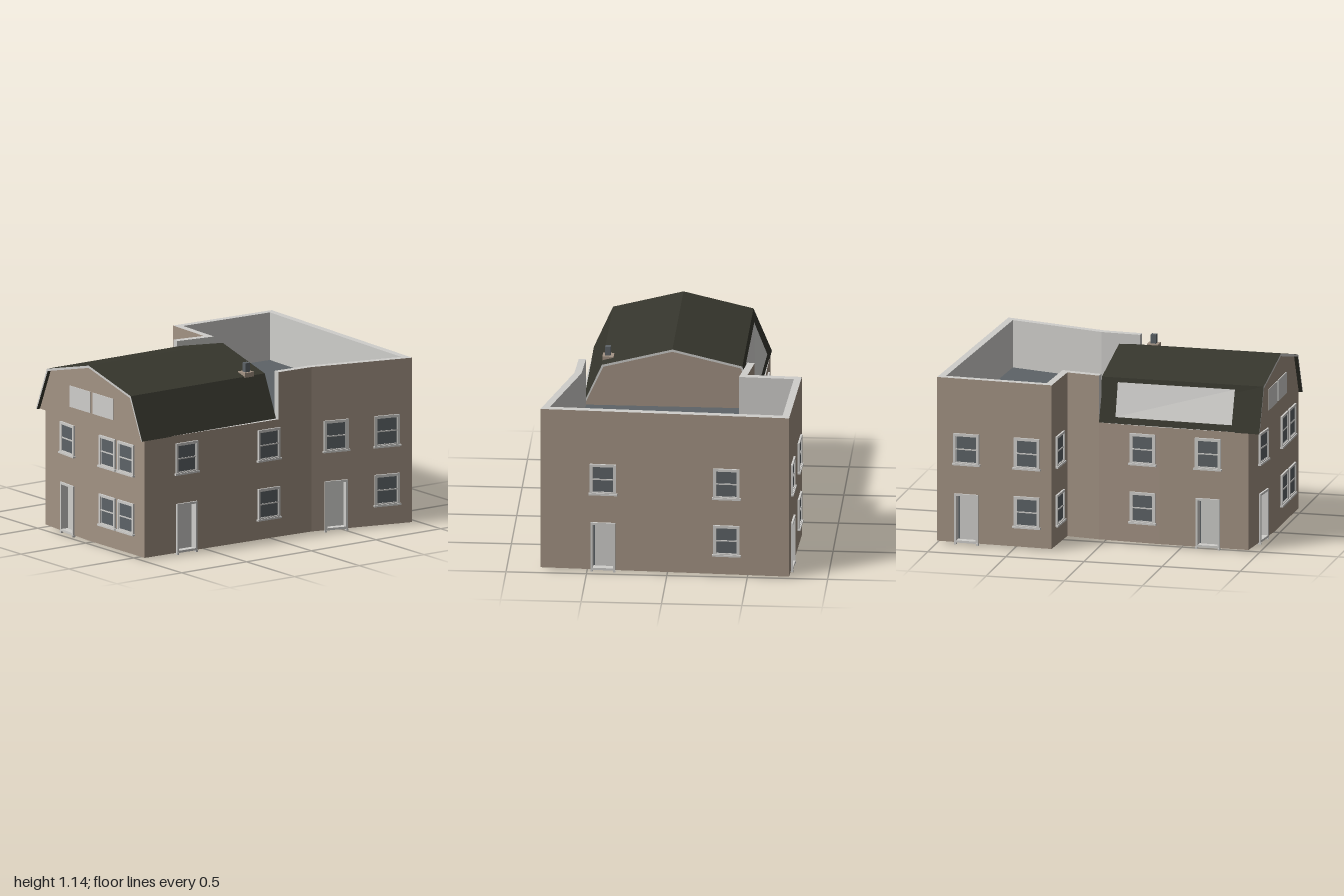
import * as THREE from 'three';

const mat = (name, color, side = THREE.FrontSide) => {
  const m = new THREE.MeshStandardMaterial({ color, side });
  m.name = name;
  return m;
};

export function createModel() {
  const house = new THREE.Group();
  house.name = 'house';

  const render = mat('tan render', 0xa39384, THREE.DoubleSide);
  const trim = mat('pale grey trim', 0xcfcecb, THREE.DoubleSide);
  const slate = mat('slate grey', 0x5d6367, THREE.DoubleSide);
  const roofing = mat('dark roofing', 0x36362d, THREE.DoubleSide);

  const add = (parent, name, geometry, material, x = 0, y = 0, z = 0) => {
    const m = new THREE.Mesh(geometry, material);
    m.name = name;
    m.position.set(x, y, z);
    parent.add(m);
    return m;
  };
  const box = (w, h, d) => new THREE.BoxGeometry(w, h, d);
  const rect = (x0, y0, x1, y1, Type = THREE.Shape) =>
    new Type([[x0, y0], [x1, y0], [x1, y1], [x0, y1]].map(p => new THREE.Vector2(...p)));
  const quad = (a, b, c, d) => {
    const g = new THREE.BufferGeometry();
    g.setAttribute('position', new THREE.Float32BufferAttribute([a, b, c, a, c, d].flat(), 3));
    g.computeVertexNormals();
    return g;
  };

  const BASE = 0.012, EAVES = 0.76, PARAPET = 1.06, THICK = 0.045;

  // Footprint corners: x, z and the height of the wall that starts there
  const plan = [
    [-0.515, 0.93, EAVES], [-0.02, 0.975, EAVES], [0.58, 0.975, EAVES],
    [0.612, -0.035, PARAPET], [0.623, -0.28, PARAPET], [0.79, -0.935, PARAPET],
    [-0.76, -1.0, PARAPET], [-0.79, -0.26, PARAPET], [-0.452, -0.245, PARAPET],
    [-0.482, -0.035, EAVES], [-0.508, 0.36, EAVES],
  ];
  const n = plan.length;
  const next = i => (i + 1) % n;
  const dirOf = i => new THREE.Vector2(
    plan[next(i)][0] - plan[i][0], plan[next(i)][1] - plan[i][1]).normalize();

  // Mitred inner corners
  const inner = plan.map(([x, z], i) => {
    const a = dirOf((i + n - 1) % n), b = dirOf(i);
    const na = new THREE.Vector2(-a.y, a.x), nb = new THREE.Vector2(-b.y, b.x);
    const k = THICK / (1 + na.dot(nb));
    return [x - (na.x + nb.x) * k, z - (na.y + nb.y) * k];
  });

  // Openings: wall number, position along the wall (world x or z), lower item, upper item
  const openings = [
    [0, -0.245, 'door'], [1, 0.2, 'window'], [1, 0.39, 'window'],
    [2, 0.66, 'door'], [2, 0.04, 'window'],
    [4, -0.44, 'door'], [4, -0.77, 'window'],
    [5, 0.4, 'door'], [5, -0.37, 'window'],
    [6, -0.81, 'door'], [6, -0.42, 'window'],
    [7, -0.62, 'window'],
    [9, 0.25, 'window'], [10, 0.67, 'door'],
  ];

  const frameGeo = (w, h, border, depth) => {
    const s = rect(-w / 2, 0, w / 2, h);
    s.holes.push(rect(-w / 2 + border, border, w / 2 - border, h - border, THREE.Path));
    return new THREE.ExtrudeGeometry(s, { depth, bevelEnabled: false });
  };

  // Sash window, origin at bottom centre on the wall face
  function makeWindow(parent, x, y) {
    const g = new THREE.Group();
    g.name = 'window';
    g.position.set(x, y, 0);
    add(g, 'windowFrame', frameGeo(0.165, 0.2, 0.015, 0.012), trim);
    add(g, 'windowSash', frameGeo(0.137, 0.172, 0.005, 0.006), trim, 0, 0.014, 0);
    add(g, 'glass', box(0.14, 0.175, 0.004), slate, 0, 0.1, 0.002);
    add(g, 'meetingRail', box(0.135, 0.008, 0.004), trim, 0, 0.1, 0.006);
    add(g, 'windowSill', box(0.18, 0.012, 0.018), trim, 0, 0.003, 0.009);
    parent.add(g);
  }

  // Recessed door with deep frame
  function makeDoor(parent, x) {
    const g = new THREE.Group();
    g.name = 'door';
    g.position.set(x, BASE, 0);
    add(g, 'doorFrame', frameGeo(0.154, 0.312, 0.014, 0.052), trim, 0, 0, -0.04);
    add(g, 'doorPanel', box(0.115, 0.29, 0.008), trim, 0.005, 0.157, -0.036);
    add(g, 'doorGap', box(0.13, 0.29, 0.003), slate, 0, 0.157, -0.042);
    for (const s of [-1, 1]) add(g, 'doorFoot', box(0.014, 0.014, 0.02), trim, s * 0.071, -0.005, 0.004);
    parent.add(g);
  }

  // Walls, each built facing +z and turned into place
  plan.forEach(([x0, z0, h], i) => {
    const [x1, z1] = plan[next(i)], d = dirOf(i);
    const length = Math.hypot(x1 - x0, z1 - z0);
    const wall = new THREE.Group();
    wall.name = 'wall';
    wall.position.set(x0, 0, z0);
    wall.rotation.y = Math.atan2(-d.y, d.x);
    const face = rect(0, BASE, length, h);
    for (const [w, at, kind] of openings) {
      if (w !== i) continue;
      const alongX = Math.abs(d.x) > Math.abs(d.y);
      const u = length * (alongX ? (at - x0) / (x1 - x0) : (at - z0) / (z1 - z0));
      if (kind === 'door') {
        face.holes.push(rect(u - 0.07, BASE + 0.004, u + 0.07, BASE + 0.305, THREE.Path));
        makeDoor(wall, u);
      } else makeWindow(wall, u, 0.135);
      makeWindow(wall, u, 0.51);
    }
    add(wall, 'outerWall', new THREE.ShapeGeometry(face), render);
    house.add(wall);

    const [a, b] = inner[i], [c, e] = inner[next(i)];
    add(house, 'innerWall', quad([c, BASE, e], [a, BASE, b], [a, h, b], [c, h, e]), trim);
    add(house, 'wallTop', quad([x0, h, z0], [x1, h, z1], [c, h, e], [a, h, b]), trim);
    add(house, 'wallBase', quad([x1, BASE, z1], [x0, BASE, z0], [a, BASE, b], [c, BASE, e]), trim);
    // Parapet ends where the wall height steps
    if (plan[next(i)][2] !== h)
      add(house, 'parapetEnd', quad([x1, EAVES, z1], [c, EAVES, e], [c, PARAPET, e], [x1, PARAPET, z1]), trim);
  });

  // Flat roof deck, which is also the ceiling
  const deck = new THREE.ShapeGeometry(new THREE.Shape(inner.map(([x, z]) => new THREE.Vector2(x, -z))));
  deck.rotateX(-Math.PI / 2);
  add(house, 'roofDeck', deck, slate, 0, EAVES - 0.003, 0);

  // Gambrel roof over the front wing, its left eave tapering inward to the back
  const BACK = -0.035, FRONT = 1.0;
  const taper = z => 0.038 * (FRONT - z) / (FRONT - BACK);
  const outline = [[-0.52, 0.757], [-0.405, 1.035], [0.03, 1.137], [0.468, 1.025], [0.587, 0.757]];
  const lining = [[-0.51, 0.757], [-0.397, 1.022], [0.03, 1.122], [0.46, 1.012], [0.577, 0.757]];
  const extrudeProfile = (points, z0, z1) => {
    const s = new THREE.Shape(points.map(p => new THREE.Vector2(...p)));
    const g = new THREE.ExtrudeGeometry(s, { depth: z1 - z0, bevelEnabled: false });
    g.translate(0, 0, z0);
    const p = g.attributes.position;
    for (let i = 0; i < p.count; i++)
      if (p.getX(i) < -0.45) p.setX(i, p.getX(i) + taper(p.getZ(i)));
    g.computeVertexNormals();
    return g;
  };
  add(house, 'gambrelRoof', extrudeProfile([...outline, ...[...lining].reverse()], BACK, FRONT), [trim, roofing]);
  add(house, 'gables', extrudeProfile(lining, BACK + 0.006, 0.976), render);

  // Pale panels on the front gable
  for (const x of [-0.087, 0.15])
    add(house, 'gablePanel', box(0.212, 0.135, 0.006), trim, x, 0.897, 0.978);

  // Long rooflight on the left-hand slope
  const onSlope = (f, z) => [
    THREE.MathUtils.lerp(-0.52 + taper(z), -0.405, f) - 0.006,
    THREE.MathUtils.lerp(0.757, 1.035, f) + 0.002, z];
  add(house, 'rooflight', quad(onSlope(0.15, 0.07), onSlope(0.15, 0.82), onSlope(0.9, 0.82), onSlope(0.9, 0.07)), trim);

  // Chimney
  add(house, 'chimneyBase', box(0.07, 0.04, 0.072), render, 0.436, 1.028, 0.085);
  add(house, 'chimneyPot', box(0.034, 0.065, 0.034), slate, 0.438, 1.073, 0.085);

  return house;
}
